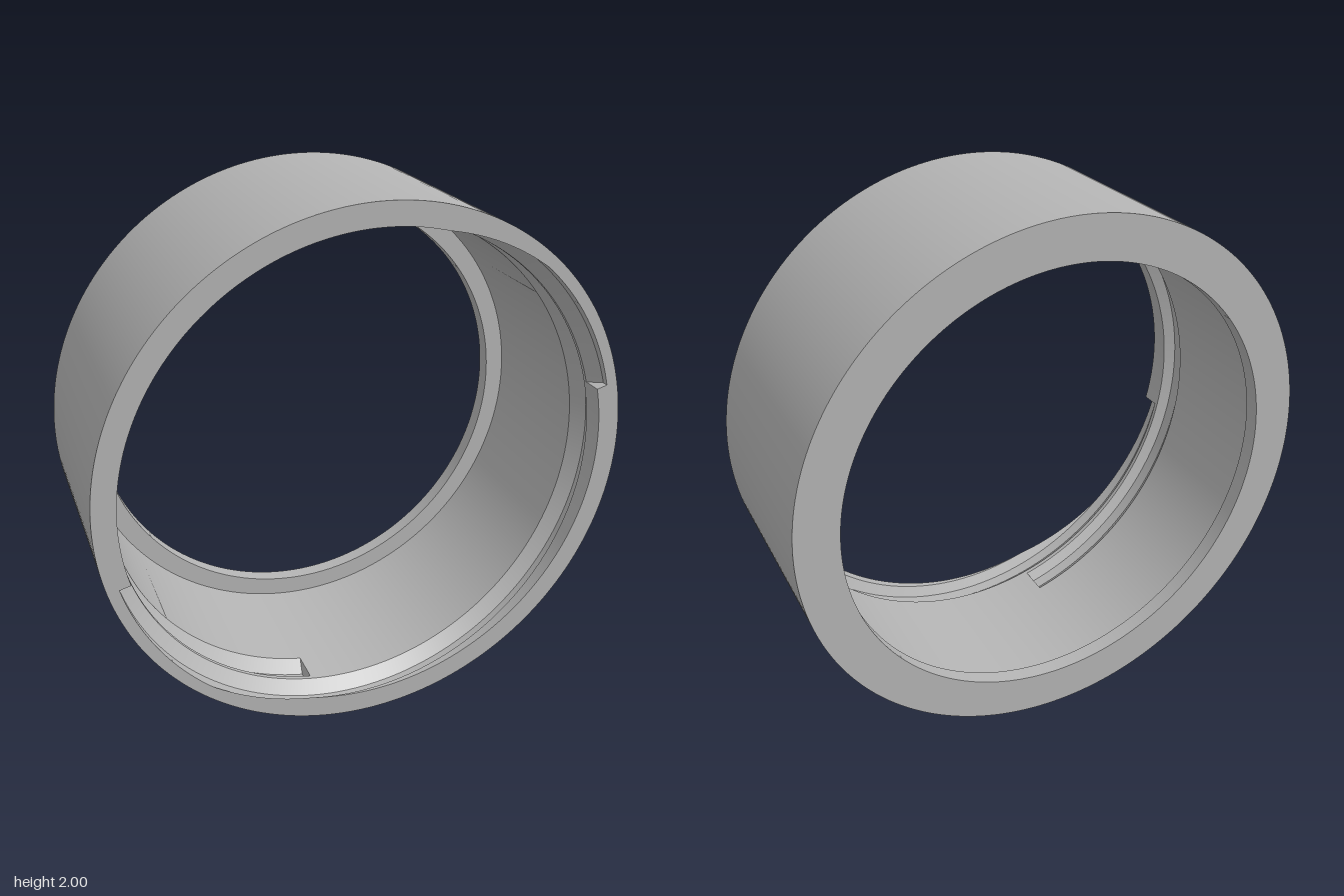
import * as THREE from 'three';
import { mergeGeometries, toCreasedNormals } from 'three/addons/utils/BufferGeometryUtils.js';

const FRONT = 0.405;    // z of the front face
const BORE = 0.915;     // bore radius
const FLOOR = 0.957;    // thread groove floor radius
const RUN = 243;        // angular length of each groove, degrees
const START = 14;       // angle of the first groove's open end

// Four [radius, depth] points of a groove after p degrees, clipped at the front face
function groove(p, active) {
  const d0 = -0.046 + 0.00076 * p;
  const points = [[BORE, d0], [FLOOR, d0 + 0.02], [FLOOR, d0 + 0.07], [BORE, d0 + 0.12]];
  if (d0 < 0) {
    const t = Math.min(1, -d0 / 0.02);
    points[0] = [BORE + (FLOOR - BORE) * t, 0];
    points[1][1] = Math.max(0, points[1][1]);
  }
  return points.map(([r, d]) => [active ? r : BORE, d]);
}

// Closed wall section: outside, front face, two groove turns, bore and rear lip
function section(p, firstActive, secondActive) {
  const first = groove(p, firstActive);
  const profile = [
    [1, 2 * FRONT], [1, 0],
    [first[0][1] > 0 ? BORE : first[0][0], 0],
    ...first, ...groove(p + 180, secondActive),
    [BORE, 0.75], [0.84, 0.75], [0.84, 2 * FRONT], [1, 2 * FRONT],
  ];
  const a = THREE.MathUtils.degToRad(START + p);
  return profile.map(([r, d]) => [r * Math.cos(a), r * Math.sin(a), FRONT - d]);
}

// Half of the ring; doubled sections make the flat end walls of the grooves
function halfRing() {
  const rows = [section(0, false, true)];
  for (let p = 0; p <= 180; p += 1.5) {
    rows.push(section(p, true, p <= RUN - 180));
    if (p === RUN - 180) rows.push(section(p, true, false));
  }
  const positions = [];
  for (let j = 0; j < rows.length - 1; j++) {
    for (let i = 0; i < rows[j].length - 1; i++) {
      const a = rows[j][i], b = rows[j][i + 1];
      const c = rows[j + 1][i + 1], d = rows[j + 1][i];
      positions.push(...a, ...d, ...c, ...a, ...c, ...b);
    }
  }
  const geometry = new THREE.BufferGeometry();
  geometry.setAttribute('position', new THREE.Float32BufferAttribute(positions, 3));
  return geometry;
}

export function createModel() {
  const group = new THREE.Group();
  group.name = 'threadedCollar';
  const grey = new THREE.MeshStandardMaterial({ color: 0xb4b4b4 });
  grey.name = 'plain grey';

  const half = halfRing();
  const whole = mergeGeometries([half, half.clone().rotateZ(Math.PI)]);
  const collar = new THREE.Mesh(toCreasedNormals(whole, 0.4), grey);
  collar.name = 'collarWithThreadGrooves';
  collar.position.y = 1;
  group.add(collar);
  return group;
}
